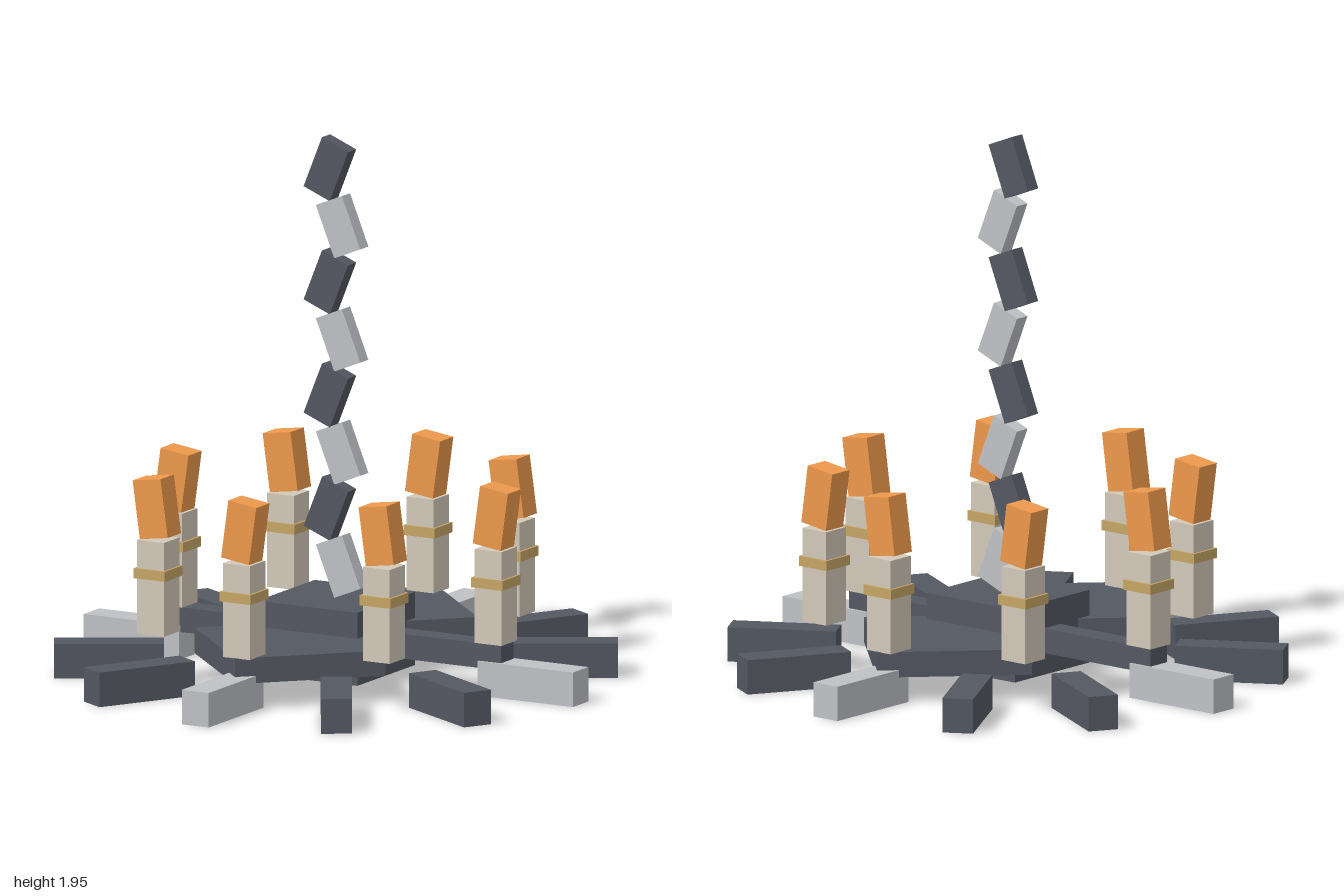
import * as THREE from 'three';

const paint = (color) => new THREE.MeshStandardMaterial({ color });
const DARK = paint(0x545862);
const LIGHT = paint(0xbfc1c5);
const WAX = paint(0xd2c9b8);
const GOLD = paint(0xc6a566);
const FLAME = paint(0xee994c);

function box(parent, name, size, position, material, rotation = [0, 0, 0]) {
  const mesh = new THREE.Mesh(new THREE.BoxGeometry(...size), material);
  mesh.name = name;
  mesh.position.set(...position);
  mesh.rotation.set(...rotation);
  parent.add(mesh);
  return mesh;
}

export function createModel() {
  const model = new THREE.Group();
  model.name = 'candleRing';

  // Ring of twelve radial blocks, light on the axes
  const ring = new THREE.Group();
  ring.name = 'blockRing';
  for (let i = 0; i < 12; i++) {
    const a = (i * Math.PI) / 6;
    const r = 0.805;
    box(ring, 'ringBlock', [0.39, 0.125, 0.11],
      [r * Math.cos(a), 0.0625, -r * Math.sin(a)], i % 3 ? DARK : LIGHT, [0, a, 0]);
  }
  model.add(ring);

  // Central hub, side arms and the two diamond plates
  const base = new THREE.Group();
  base.name = 'base';
  box(base, 'hub', [0.41, 0.265, 0.41], [0, 0.1525, 0], DARK);
  box(base, 'crossArm', [1.4, 0.09, 0.09], [0, 0.144, 0], DARK);
  for (const s of [-1, 1]) {
    box(base, 'diamondPlate', [0.552, 0.092, 0.552], [0, 0.145, s * 0.328], DARK, [0, Math.PI / 4, 0]);
  }
  model.add(base);

  // Eight candles, flames leaning alternately right and left
  for (let i = 0; i < 8; i++) {
    const a = (i * Math.PI) / 4;
    const candle = new THREE.Group();
    candle.name = 'candle';
    candle.position.set(0.653 * Math.cos(a), 0, 0.653 * Math.sin(a));
    box(candle, 'candleStick', [0.11, 0.34, 0.11], [0, 0.36, 0], WAX);
    box(candle, 'candleBand', [0.128, 0.036, 0.128], [0, 0.41, 0], GOLD);
    box(candle, 'flame', [0.115, 0.212, 0.095], [0.005 * (i % 2 ? -1 : 1), 0.645, 0], FLAME,
      [0, 0, i % 2 ? 0.14 : -0.14]);
    model.add(candle);
  }

  // Zigzag column of eight tilted blocks
  const column = new THREE.Group();
  column.name = 'zigzagColumn';
  for (let i = 0; i < 8; i++) {
    const s = i % 2 ? -1 : 1;
    box(column, 'columnBlock', [0.115, 0.2, 0.058], [0.025 * s, 0.4 + i * 0.205, 0],
      s > 0 ? LIGHT : DARK, [0, 0, 0.385 * s]);
  }
  model.add(column);

  return model;
}
